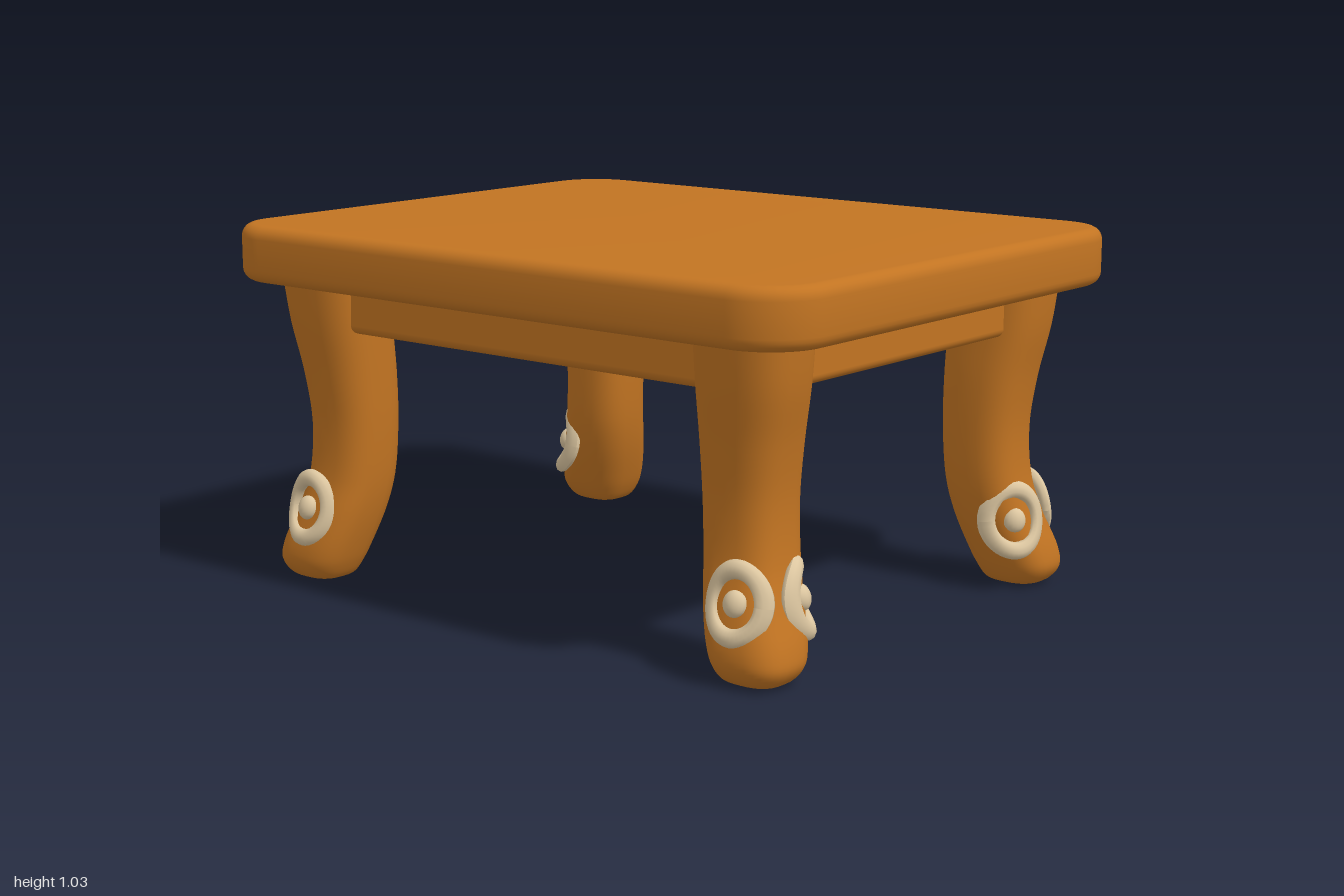
import * as THREE from 'three';
import { toCreasedNormals } from 'three/addons/utils/BufferGeometryUtils.js';
import { RoundedBoxGeometry } from 'three/addons/geometries/RoundedBoxGeometry.js';

const wood = new THREE.MeshStandardMaterial({ color: 0xc27422 });
wood.name = 'honey wood';
const cream = new THREE.MeshStandardMaterial({ color: 0xdcc6a0 });
cream.name = 'cream carving';

function add(parent, name, geometry, material) {
  const mesh = new THREE.Mesh(geometry, material);
  mesh.name = name;
  parent.add(mesh);
  return mesh;
}

// Copy of a geometry mirrored into another corner, with its faces kept outward
function mirrored(geometry, sx, sz) {
  const g = geometry.clone().applyMatrix4(new THREE.Matrix4().makeScale(sx, 1, sz));
  if (sx * sz < 0) {
    const index = g.index.array;
    for (let i = 0; i < index.length; i += 3) {
      [index[i + 1], index[i + 2]] = [index[i + 2], index[i + 1]];
    }
  }
  return g;
}

// Slab with round corners and a soft edge
function tabletopGeometry() {
  const bevel = 0.035, w = 1 - bevel, d = 0.8 - bevel, r = 0.14;
  const s = new THREE.Shape();
  s.absarc(w - r, d - r, r, 0, Math.PI / 2);
  s.absarc(-w + r, d - r, r, Math.PI / 2, Math.PI);
  s.absarc(-w + r, -d + r, r, Math.PI, Math.PI * 1.5);
  s.absarc(w - r, -d + r, r, Math.PI * 1.5, Math.PI * 2);
  const g = new THREE.ExtrudeGeometry(s, {
    depth: 0.16 - 2 * bevel, bevelThickness: bevel, bevelSize: bevel, bevelSegments: 5, curveSegments: 10,
  });
  g.rotateX(-Math.PI / 2).translate(0, 0.868 + bevel, 0);
  return toCreasedNormals(g, 0.7);
}

// Curved leg: [y, outer x, inner x, outer z, inner z] from the foot up
const LEG = [
  [0.0, 0.84, 0.74, 0.66, 0.57],
  [0.012, 0.88, 0.705, 0.695, 0.54],
  [0.05, 0.908, 0.68, 0.718, 0.515],
  [0.1, 0.903, 0.66, 0.718, 0.495],
  [0.2, 0.868, 0.63, 0.692, 0.465],
  [0.3, 0.842, 0.612, 0.665, 0.447],
  [0.45, 0.832, 0.602, 0.657, 0.44],
  [0.6, 0.848, 0.6, 0.672, 0.44],
  [0.75, 0.878, 0.6, 0.695, 0.448],
  [0.9, 0.895, 0.6, 0.712, 0.45],
];

function legGeometry() {
  const rings = 45, sides = 32, pos = [], index = [];
  const a = new THREE.CatmullRomCurve3(LEG.map(([y, ox, ix]) => new THREE.Vector3(ox, y, ix)));
  const b = new THREE.CatmullRomCurve3(LEG.map(([y, , , oz, iz]) => new THREE.Vector3(oz, y, iz)));
  const round = (v) => Math.sign(v) * Math.abs(v) ** (2 / 2.7);
  for (let i = 0; i <= rings; i++) {
    const p = a.getPoint(i / rings), q = b.getPoint(i / rings);
    for (let j = 0; j < sides; j++) {
      const t = (j / sides) * Math.PI * 2;
      pos.push(
        (p.x + p.z) / 2 + ((p.x - p.z) / 2) * round(Math.cos(t)),
        p.y,
        (q.x + q.z) / 2 + ((q.x - q.z) / 2) * round(Math.sin(t)));
      if (i < rings) {
        const k = (j + 1) % sides, o = i * sides;
        index.push(o + j, o + sides + j, o + k, o + k, o + sides + j, o + sides + k);
      }
    }
  }
  // Sole
  const c = pos.length / 3;
  pos.push(0.79, 0, 0.615);
  for (let j = 0; j < sides; j++) index.push(c, j, (j + 1) % sides);
  const g = new THREE.BufferGeometry();
  g.setAttribute('position', new THREE.Float32BufferAttribute(pos, 3));
  g.setIndex(index);
  g.computeVertexNormals();
  return g;
}

// Bends a flat carving around the leg, then seats it facing along a direction
function seat(geometry, centre, facing, bend) {
  const p = geometry.attributes.position;
  for (let i = 0; i < p.count; i++) p.setZ(i, p.getZ(i) - bend * p.getX(i) ** 2);
  geometry.computeVertexNormals();
  const n = new THREE.Vector3(...facing).normalize();
  const x = new THREE.Vector3(0, 1, 0).cross(n).normalize();
  const y = n.clone().cross(x);
  return geometry.applyMatrix4(new THREE.Matrix4().makeBasis(x, y, n).setPosition(...centre));
}

const CARVINGS = [
  { name: 'end', centre: [0.775, 0.215, 0.69], facing: [0.08, 0.22, 1], bend: 3 },
  { name: 'side', centre: [0.847, 0.205, 0.505], facing: [0.8, 0.2, -0.58], bend: 4.2 },
];

export function createModel() {
  const model = new THREE.Group();
  model.name = 'low table';
  add(model, 'tabletop', tabletopGeometry(), wood);

  // Aprons between the legs
  for (const s of [-1, 1]) {
    add(model, s > 0 ? 'frontApron' : 'backApron',
      new RoundedBoxGeometry(1.4, 0.17, 0.12, 4, 0.025), wood).position.set(0, 0.815, s * 0.59);
    add(model, s > 0 ? 'leftApron' : 'rightApron',
      new RoundedBoxGeometry(0.12, 0.17, 1.1, 4, 0.025), wood).position.set(s * 0.76, 0.815, 0);
  }

  // Legs, each with two round carvings
  const leg = legGeometry();
  const carvings = CARVINGS.map(({ name, centre, facing, bend }) => ({
    name,
    ring: seat(new THREE.TorusGeometry(0.083, 0.024, 10, 40).scale(0.92, 1.04, 0.85), centre, facing, bend),
    knob: seat(new THREE.SphereGeometry(0.033, 16, 12).scale(1, 1.05, 0.7), centre, facing, bend),
  }));
  for (const sx of [-1, 1]) {
    for (const sz of [-1, 1]) {
      const group = new THREE.Group();
      group.name = (sz > 0 ? 'front' : 'back') + (sx > 0 ? 'Left' : 'Right') + 'Leg';
      add(group, 'leg', mirrored(leg, sx, sz), wood);
      for (const c of carvings) {
        add(group, c.name + 'Ring', mirrored(c.ring, sx, sz), cream);
        add(group, c.name + 'Knob', mirrored(c.knob, sx, sz), cream);
      }
      model.add(group);
    }
  }
  return model;
}
